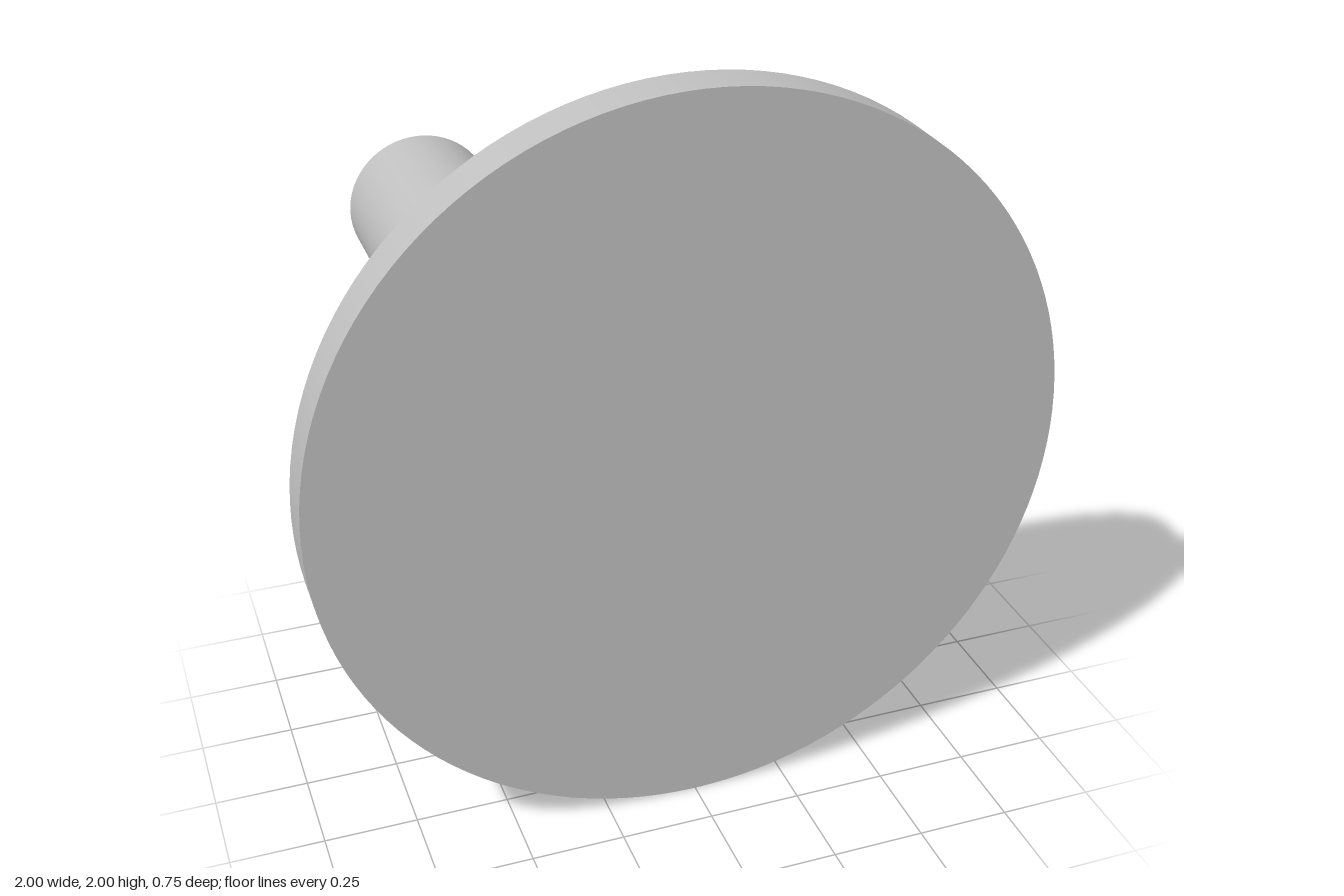
import * as THREE from 'three';
import { toCreasedNormals } from 'three/addons/utils/BufferGeometryUtils.js';

export function createModel() {
  const model = new THREE.Group();
  const grey = new THREE.MeshStandardMaterial({ color: 0xbfbfbf });
  grey.name = 'plain grey';

  // Round plate facing the front
  const plateGeometry = new THREE.CylinderGeometry(1, 1, 0.125, 128);
  plateGeometry.rotateX(Math.PI / 2);
  const plate = new THREE.Mesh(plateGeometry, grey);
  plate.name = 'roundPlate';
  plate.position.set(0, 1, 0.3125);
  model.add(plate);

  // Hollow tube reaching backwards from the plate
  const outer = 0.1875, length = 0.625;
  function makeTube(bore) {
    const profile = [[outer, 0], [outer, length], [bore, length], [bore, 0]]
      .map(([r, y]) => new THREE.Vector2(r, y));
    const geometry = toCreasedNormals(new THREE.LatheGeometry(profile, 64), 0.6);
    geometry.rotateX(-Math.PI / 2);
    return new THREE.Mesh(geometry, grey);
  }

  // Diagonal row of tubes, the bore widening towards the lower left
  const row = new THREE.Group();
  row.name = 'tubeRow';
  [0.089, 0.096, 0.102, 0.109].forEach((bore, i) => {
    const tube = makeTube(bore);
    tube.name = `tube${i + 1}`;
    const x = -0.502 + 0.3535 * i;
    tube.position.set(x, 1 - x, 0.25);
    row.add(tube);
  });
  model.add(row);

  return model;
}
